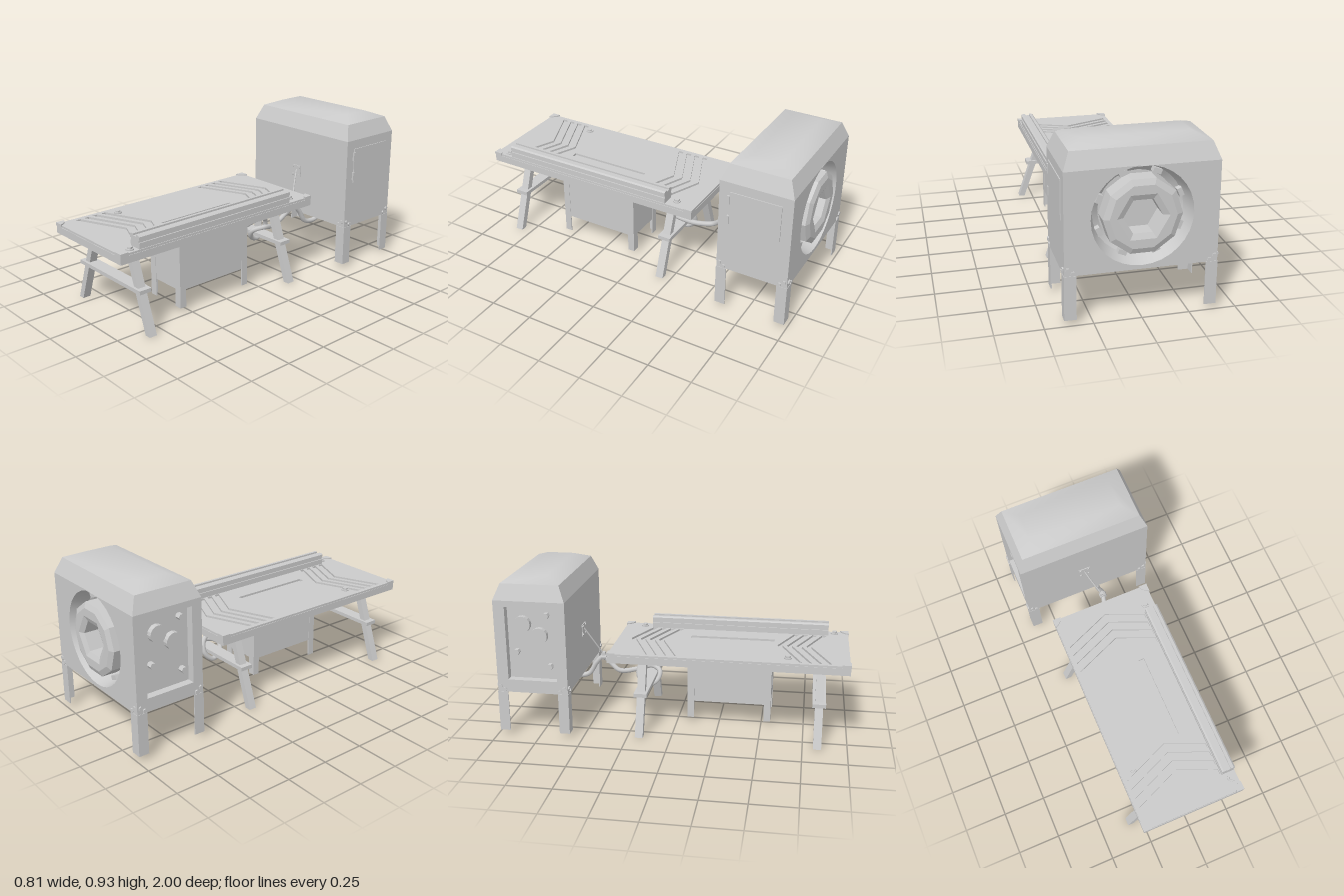
import * as THREE from 'three';
import { toCreasedNormals } from 'three/addons/utils/BufferGeometryUtils.js';

const grey = new THREE.MeshStandardMaterial({ color: 0xcccccc, side: THREE.DoubleSide });
const faceted = new THREE.MeshStandardMaterial({ color: 0xcccccc, side: THREE.DoubleSide, flatShading: true });

function add(parent, name, geometry, x = 0, y = 0, z = 0, material = grey) {
  const mesh = new THREE.Mesh(geometry, material);
  mesh.name = name;
  mesh.position.set(x, y, z);
  parent.add(mesh);
  return mesh;
}
// Box given by its minimum and maximum on every axis
function box(parent, name, x0, x1, y0, y1, z0, z1) {
  return add(parent, name, new THREE.BoxGeometry(x1 - x0, y1 - y0, z1 - z0),
    (x0 + x1) / 2, (y0 + y1) / 2, (z0 + z1) / 2);
}
const poly = pts => pts.map(p => new THREE.Vector2(p[0], p[1]));
const rect = (x0, x1, y0, y1) => poly([[x0, y0], [x1, y0], [x1, y1], [x0, y1]]);
const ngon = (n, r) => Array.from({ length: n }, (_, i) =>
  new THREE.Vector2(r * Math.cos(i / n * 2 * Math.PI), r * Math.sin(i / n * 2 * Math.PI)));
function extrude(points, depth, holes = [], options = {}) {
  const shape = new THREE.Shape(points);
  holes.forEach(h => shape.holes.push(new THREE.Path(h)));
  return new THREE.ExtrudeGeometry(shape, { depth, bevelEnabled: false, ...options });
}
// Low-sided bolt head along one axis
function bolt(parent, axis, x, y, z, r = 0.012, h = 0.012, sides = 5) {
  const g = new THREE.CylinderGeometry(r, r, h, sides);
  if (axis === 'x') g.rotateZ(Math.PI / 2);
  if (axis === 'z') g.rotateX(Math.PI / 2);
  return add(parent, 'bolt', g, x, y, z, faceted);
}
function tube(parent, name, pts, r, segments) {
  const curve = new THREE.CatmullRomCurve3(pts.map(p => new THREE.Vector3(...p)));
  return add(parent, name, new THREE.TubeGeometry(curve, segments, r, 8));
}
// L-shaped leg: corner at (x, z), flanges running inwards along sx and sz
function angleLeg(parent, x, z, sx, sz, wx, wz, y0, y1) {
  const leg = new THREE.Group();
  leg.name = 'angleLeg';
  const t = 0.006;
  const g = extrude(poly([[0, 0], [wx, 0], [wx, t], [t, t], [t, wz], [0, wz]]
    .map(([a, b]) => [x + sx * a, -(z + sz * b)])), y1 - y0);
  g.rotateX(-Math.PI / 2);
  add(leg, 'legAngle', g, 0, y0, 0);
  parent.add(leg);
}

// Tapered roof from stacked rectangles: [y, half width, half depth]
function roofGeometry(rings) {
  const pos = [], corners = [[1, 1], [1, -1], [-1, -1], [-1, 1]];
  const at = (i, j) => [rings[i][1] * corners[j % 4][0], rings[i][0], rings[i][2] * corners[j % 4][1]];
  const quad = (a, b, c, d) => [a, b, c, a, c, d].forEach(p => pos.push(...p));
  for (let i = 0; i < rings.length - 1; i++)
    for (let j = 0; j < 4; j++) quad(at(i, j), at(i, j + 1), at(i + 1, j + 1), at(i + 1, j));
  const top = rings.length - 1;
  quad(at(top, 0), at(top, 1), at(top, 2), at(top, 3));
  const g = new THREE.BufferGeometry();
  g.setAttribute('position', new THREE.Float32BufferAttribute(pos, 3));
  return toCreasedNormals(g, 0.6);
}

function createTable() {
  const table = new THREE.Group();
  table.name = 'table';
  box(table, 'tableSlab', -0.303, 0.303, 0.437, 0.478, -0.367, 0.993);

  // Top plate with chevron grooves and one long slot (shape y is -z)
  const holes = [rect(0.065, 0.1, -0.56, -0.065)];
  for (const z0 of [-0.285, 0.58]) {
    for (let i = 0; i < 4; i++) {
      const z = z0 + i * 0.055, w = 0.03, s = 0.42, l = -0.275, r = 0.217;
      holes.push(poly([[l, -(z - s * l)], [0, -z], [r, -(z + s * r)],
        [r, -(z + s * r + w)], [0, -(z + w)], [l, -(z - s * l + w)]]));
    }
  }
  const plate = extrude(rect(-0.3, 0.3, -0.99, 0.364), 0.012, holes);
  plate.rotateX(-Math.PI / 2);
  add(table, 'groovedTop', plate, 0, 0.478, 0);

  // Corner caps
  for (const sx of [-1, 1]) for (const end of [-0.369, 0.995]) {
    const sz = end > 0 ? -1 : 1;
    const cap = extrude(poly([[0, 0], [0.05, 0], [0.042, 0.02], [0.02, 0.042], [0, 0.05]]
      .map(([a, b]) => [sx * (0.305 - a), -(end + sz * b)])), 0.018);
    cap.rotateX(-Math.PI / 2);
    add(table, 'cornerCap', cap, 0, 0.479, 0);
  }
  for (const [x, z, n] of [[0.245, -0.247, 5], [0.265, 0.91, 5], [-0.22, 0.648, 6]]) {
    bolt(table, 'y', x, 0.493, z, 0.022, 0.008, 12);
    bolt(table, 'y', x, 0.5, z, 0.016, 0.014, n);
  }

  // Slotted guide rail
  const half = [[0.039, 0.502], [0.039, 0.523], [0.032, 0.523], [0.032, 0.536], [0.039, 0.536],
    [0.039, 0.555], [0.03, 0.562], [0.013, 0.562], [0.013, 0.552], [0.006, 0.552]];
  const profile = [...half, ...half.map(([x, y]) => [-x, y]).reverse()];
  add(table, 'guideRail', extrude(poly(profile), 1.07), 0.259, 0, -0.197);
  box(table, 'railBase', 0.222, 0.296, 0.488, 0.503, -0.197, 0.873);

  // A-frame trestles
  for (const z of [0.833, -0.183]) {
    const trestle = new THREE.Group();
    trestle.name = 'trestle';
    for (const s of [-1, 1])
      add(trestle, 'trestleLeg', extrude(poly([[0.3, 0], [0.337, 0], [0.183, 0.437], [0.143, 0.437]]
        .map(([x, y]) => [s * x, y])), 0.046), 0, 0, z - 0.023);
    box(trestle, 'crossbar', -0.282, 0.282, 0.228, 0.25, z - 0.038, z + 0.038);
    box(trestle, 'topBar', -0.205, 0.205, 0.43, 0.438, z - 0.023, z + 0.023);
    table.add(trestle);
  }

  // Control cabinet under the table
  box(table, 'cabinet', -0.048, 0.213, 0.13, 0.438, 0.062, 0.553);
  for (const sx of [-1, 1]) for (const sz of [-1, 1])
    angleLeg(table, sx > 0 ? 0.215 : -0.05, sz > 0 ? 0.555 : 0.06, -sx, -sz, 0.045, 0.04, 0.025, 0.437);
  return table;
}

function createMachine() {
  const machine = new THREE.Group();
  machine.name = 'machine';
  const W = 0.395, y0 = 0.265, y1 = 0.805, zf = -0.575, zb = -0.985, zc = -0.78, cy = 0.547;

  // Housing walls and roof
  box(machine, 'frontWall', -W, W, y0, y1, zf - 0.006, zf);
  box(machine, 'plainSideWall', W - 0.006, W, y0, y1, zb, zf);
  box(machine, 'floor', -W, W, y0, y0 + 0.006, zb, zf);
  const circle = ngon(32, 0.262).map(p => p.add(new THREE.Vector2(0, cy)));
  add(machine, 'backWall', extrude(rect(-W, W, y0, y1), 0.006, [circle]), 0, 0, zb);
  add(machine, 'roof', roofGeometry([[y1, W, 0.205], [0.895, 0.36, 0.168], [0.93, 0.275, 0.08]]), 0, 0, zc);

  // Gauge recess on the model's right side
  const side = extrude(rect(zb, zf, y0, y1), 0.045, [rect(-0.92, -0.635, 0.34, 0.77)]);
  side.rotateY(-Math.PI / 2);
  add(machine, 'recessWall', side, -W + 0.045, 0, 0);
  box(machine, 'recessBack', -W + 0.045, -W + 0.05, 0.32, 0.79, -0.94, -0.615);
  for (const [y, z] of [[0.665, -0.83], [0.6, -0.735]])
    bolt(machine, 'x', -0.365, y, z, 0.048, 0.03, 16).name = 'gauge';
  for (const [y, z] of [[0.72, -0.69], [0.5, -0.87], [0.42, -0.68]])
    bolt(machine, 'x', -0.365, y, z, 0.018, 0.035, 6).name = 'knob';

  // Hinged door on the other side
  box(machine, 'door', W, W + 0.005, 0.54, 0.752, -0.925, -0.635);
  for (const y of [0.585, 0.705])
    box(machine, 'hinge', W, W + 0.011, y - 0.025, y + 0.025, -0.64, -0.625);

  // Funnel and blower in the back opening
  const funnel = new THREE.LatheGeometry(poly([[0, 0], [0.2, 0], [0.235, 0.03], [0.262, 0.12]]), 32);
  funnel.rotateX(-Math.PI / 2);
  add(machine, 'funnel', toCreasedNormals(funnel, 0.5), 0, cy, zb + 0.12);
  const ring = extrude(ngon(10, 0.172), 0.09, [ngon(6, 0.135)],
    { bevelEnabled: true, bevelSize: 0.03, bevelThickness: 0.014, bevelSegments: 1 });
  add(machine, 'blowerRing', ring, 0, cy, -0.986, faceted);
  for (let i = 0; i < 8; i++) {
    const a = (i + 0.5) * Math.PI / 4;
    const clip = add(machine, 'funnelClip', new THREE.BoxGeometry(0.025, 0.045, 0.035),
      0.225 * Math.cos(a), cy + 0.225 * Math.sin(a), -0.915);
    clip.rotation.z = a;
  }

  // Angle legs with bolts on both flanges
  for (const sx of [-1, 1]) for (const sz of [-1, 1]) {
    const x = sx * (W + 0.002), z = zc + sz * 0.207;
    angleLeg(machine, x, z, -sx, -sz, 0.063, 0.06, 0.025, y0);
    for (const [d, y] of [[0.02, 0.3], [0.045, 0.28]]) {
      bolt(machine, 'z', x - sx * d, y, z);
      bolt(machine, 'x', x, y, z - sz * d);
    }
  }

  // Cable bracket on the front
  box(machine, 'bracketPlate', -0.05, 0.02, 0.5, 0.572, zf, zf + 0.005);
  for (const x of [-0.04, 0.01]) for (const y of [0.51, 0.562])
    bolt(machine, 'z', x, y, zf + 0.006, 0.007, 0.01);
  return machine;
}

export function createModel() {
  const model = new THREE.Group();
  model.name = 'workstation';
  model.add(createTable(), createMachine());

  // Knotted hose from the cabinet to the machine floor
  tube(model, 'hose', [[0.08, 0.305, 0.06], [0.08, 0.325, -0.06], [0.07, 0.335, -0.17], [0.05, 0.31, -0.24],
    [0.03, 0.24, -0.25], [0.02, 0.19, -0.2], [0.03, 0.215, -0.14], [0.06, 0.265, -0.125], [0.1, 0.285, -0.18],
    [0.08, 0.265, -0.27], [0.04, 0.265, -0.37], [0.05, 0.31, -0.43], [0.06, 0.34, -0.475], [0.065, 0.3, -0.52],
    [0.067, 0.225, -0.57], [0.067, 0.21, -0.65], [0.067, 0.24, -0.72], [0.067, 0.27, -0.76]], 0.015, 120);

  // Support cable and its clamp
  tube(model, 'supportCable', [[-0.015, 0.545, -0.572], [0.01, 0.47, -0.53], [0.05, 0.365, -0.475]], 0.005, 12);
  const clamp = add(model, 'hoseClamp', new THREE.CylinderGeometry(0.022, 0.022, 0.03, 8), 0.058, 0.342, -0.47, faceted);
  clamp.rotation.x = Math.PI / 2;
  box(model, 'clampLug', 0.04, 0.06, 0.355, 0.375, -0.48, -0.46);
  return model;
}
